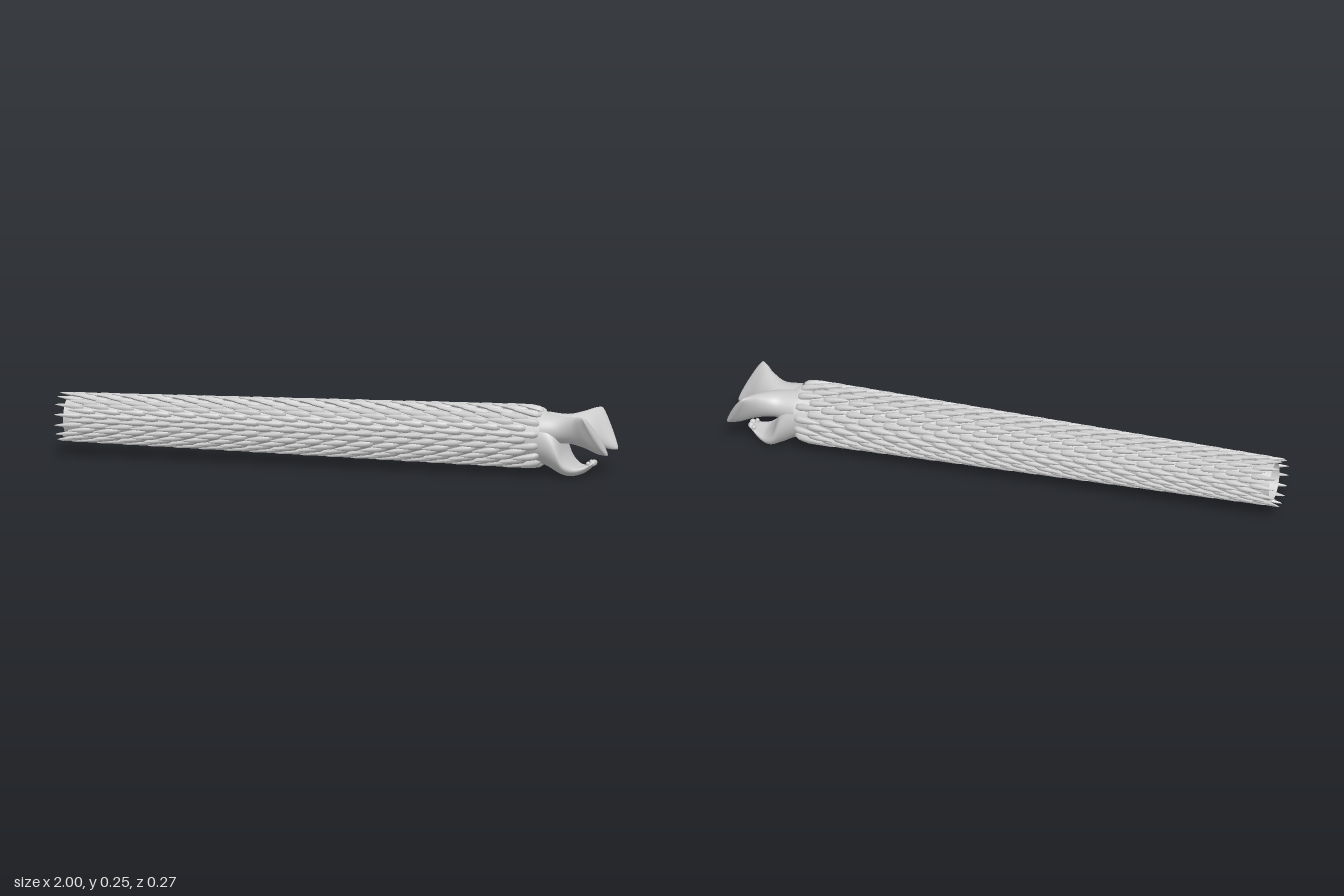
import * as THREE from 'three';
import { mergeGeometries } from 'three/addons/utils/BufferGeometryUtils.js';

const AXIS_Y = 0.133;
const tubeRadius = (x) => THREE.MathUtils.mapLinear(x, -0.97, 0.76, 0.068, 0.09);

// Smooth skin through oval sections. Each section: top point, bottom point, half-width vector.
function loft(sections, steps, sides, { dent = 0, roundFrom = 0.88 } = {}) {
  const curve = (k) => new THREE.CatmullRomCurve3(
    sections.map((s) => new THREE.Vector3(...s[k])), false, 'catmullrom', 0.5);
  const [top, bottom, width] = [0, 1, 2].map(curve);
  const pos = [], index = [];
  for (let i = 0; i <= steps; i++) {
    const t = i / steps;
    const T = top.getPoint(t), B = bottom.getPoint(t), W = width.getPoint(t);
    const centre = T.clone().add(B).multiplyScalar(0.5);
    const up = T.clone().sub(B).multiplyScalar(0.5);
    const u = Math.max(0, (t - roundFrom) / (1 - roundFrom));
    const k = Math.max(0.01, Math.sqrt(1 - u * u)); // rounded tip
    const hollow = dent * Math.sin(Math.PI * THREE.MathUtils.smoothstep(t, 0.35, 1));
    for (let j = 0; j < sides; j++) {
      const a = (j / sides) * Math.PI * 2;
      const p = centre.clone().addScaledVector(up, k * Math.sin(a)).addScaledVector(W, k * Math.cos(a));
      p.y -= hollow * Math.max(0, Math.sin(a)) ** 2;
      pos.push(p.x, p.y, p.z);
      if (i < steps) {
        const n = (j + 1) % sides, r = i * sides, q = r + sides;
        index.push(r + j, q + j, r + n, r + n, q + j, q + n);
      }
    }
  }
  const g = new THREE.BufferGeometry();
  g.setAttribute('position', new THREE.Float32BufferAttribute(pos, 3));
  g.setIndex(index);
  g.computeVertexNormals();
  return g;
}

// One swept-back spine: root at the origin, tip towards -x, lifting away in +y
function spineGeometry() {
  const profile = [[0, 0], [0.009, 0.002], [0.0135, 0.015], [0.0125, 0.04], [0.008, 0.07], [0.004, 0.09], [0, 0.1]];
  const g = new THREE.LatheGeometry(profile.map(([r, y]) => new THREE.Vector2(r, y)), 7);
  g.rotateZ(Math.PI / 2);
  const p = g.attributes.position;
  for (let i = 0; i < p.count; i++) {
    const t = THREE.MathUtils.clamp(-p.getX(i) / 0.1, 0, 1);
    p.setY(i, p.getY(i) + 0.021 * Math.pow(t, 0.7));
  }
  g.computeVertexNormals();
  return g;
}

export function createModel() {
  const model = new THREE.Group();
  const grey = new THREE.MeshStandardMaterial({ color: 0xcccccc });
  const greyThin = new THREE.MeshStandardMaterial({ color: 0xcccccc, side: THREE.DoubleSide });
  const add = (name, geometry, material = grey) => {
    const mesh = new THREE.Mesh(geometry, material);
    mesh.name = name;
    model.add(mesh);
    return mesh;
  };

  // Hollow tapering body, open at the rear
  const body = new THREE.CylinderGeometry(tubeRadius(0.76), tubeRadius(-0.97), 1.73, 40, 1, true);
  body.rotateZ(-Math.PI / 2);
  add('bodyTube', body, greyThin).position.set(-0.105, AXIS_Y, 0);

  // Staggered rings of spines
  const spine = spineGeometry();
  const spines = [];
  const rings = 37, perRing = 14;
  for (let i = 0; i < rings; i++) {
    const x = THREE.MathUtils.lerp(0.755, -0.9, i / (rings - 1));
    const r = tubeRadius(x), s = r / 0.09;
    for (let j = 0; j < perRing; j++) {
      const g = spine.clone().scale(1, s, s).translate(x, r, 0);
      g.rotateX(((j + (i % 2) / 2) / perRing) * Math.PI * 2);
      spines.push(g.translate(0, AXIS_Y, 0));
    }
  }
  add('spines', mergeGeometries(spines));

  // Neck running down into the scooped lower jaw
  add('neckAndLowerJaw', loft([
    [[0.71, 0.22, 0], [0.71, 0.046, 0], [0, 0, 0.086]],
    [[0.765, 0.222, 0], [0.765, 0.034, 0], [0, 0, 0.09]],
    [[0.81, 0.18, 0], [0.81, 0.01, 0], [0, 0, 0.092]],
    [[0.838, 0.09, 0], [0.842, 0, 0], [0, 0, 0.086]],
    [[0.87, 0.052, 0], [0.872, 0.001, 0], [0, 0, 0.068]],
    [[0.9, 0.046, 0], [0.903, 0.012, 0], [0, 0, 0.046]],
    [[0.925, 0.053, 0], [0.927, 0.03, 0], [0, 0, 0.03]],
    [[0.942, 0.057, 0], [0.942, 0.044, 0], [0, 0, 0.022]],
  ], 56, 40, { dent: 0.012, roundFrom: 0.93 }));

  for (const s of [1, -1]) {
    const side = s > 0 ? 'left' : 'right';
    // Flared upper lobe: high outer corner, low forward tip
    const lobe = [
      [[0.76, 0.22, 0.018], [0.76, 0.1, 0.018], [0, 0, 0.066]],
      [[0.835, 0.212, 0.032], [0.845, 0.118, 0.03], [-0.015, 0, 0.048]],
      [[0.885, 0.219, 0.072], [0.915, 0.108, 0.046], [-0.02, 0, 0.034]],
      [[0.912, 0.226, 0.108], [0.966, 0.09, 0.062], [-0.018, 0, 0.023]],
      [[0.93, 0.226, 0.13], [1.0, 0.086, 0.072], [-0.012, 0, 0.014]],
      [[0.94, 0.216, 0.14], [1.004, 0.094, 0.08], [-0.006, 0, 0.008]],
    ].map(([t, b, w]) => [
      [t[0], t[1], s * t[2]], [b[0], b[1], s * b[2]], [s * w[0], 0, w[2]]]);
    add(side + 'UpperLobe', loft(lobe, 40, 32, { roundFrom: 0.85 }));

    // Small knobs on the lip of the lower jaw
    for (const [z, r] of [[0.011, 0.011], [0.024, 0.008]]) {
      add(side + 'LipKnob', new THREE.SphereGeometry(r, 14, 10)).position.set(0.945 - z, 0.047, s * z);
    }
  }
  return model;
}
